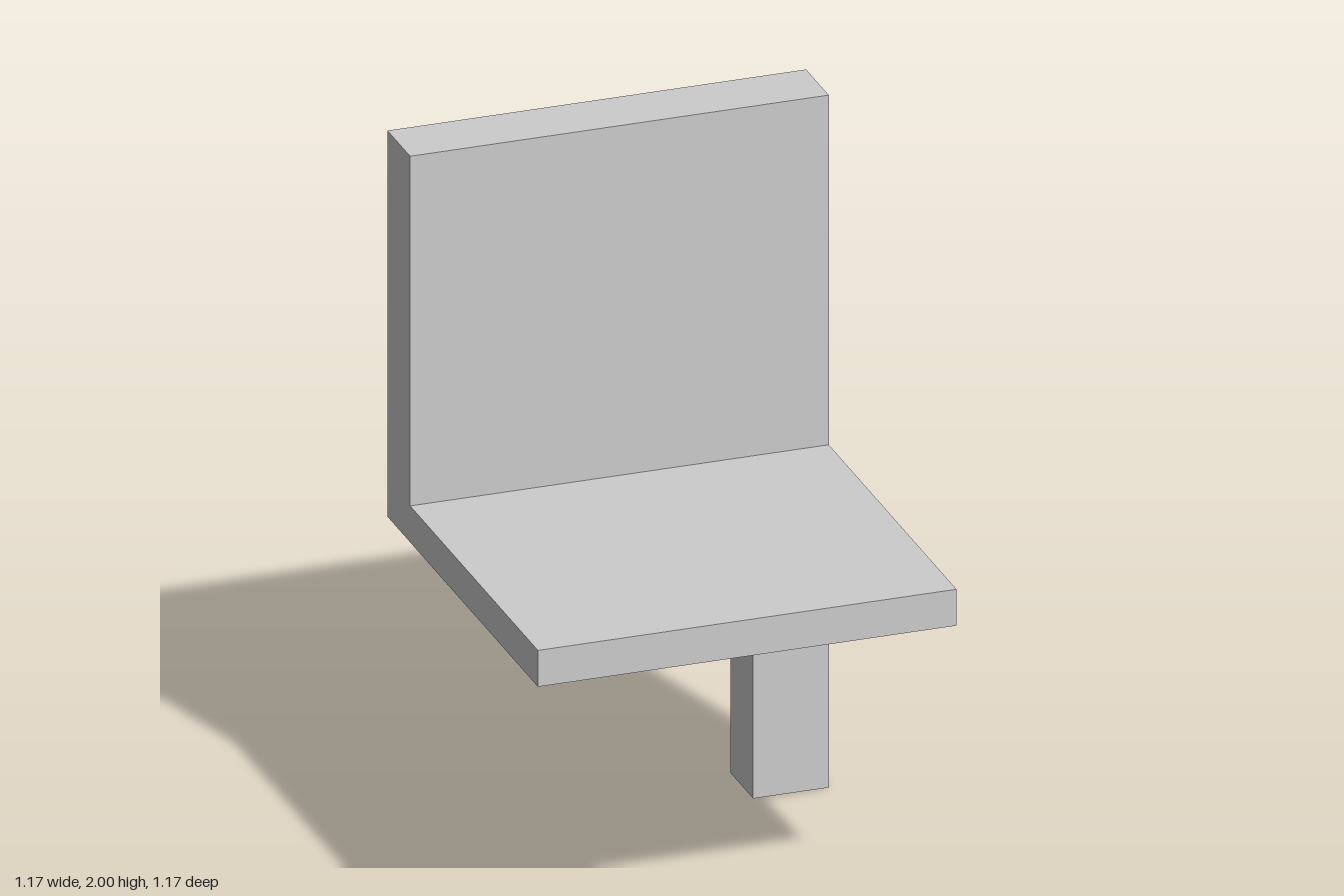
import * as THREE from 'three';

const HALF = 0.587;      // half width and half depth
const BACK_Z = -0.41;    // front plane of backrest and leg
const SEAT_BOTTOM = 0.885;
const SEAT_TOP = 0.99;

export function createModel() {
  const group = new THREE.Group();
  group.name = 'chair';
  const material = new THREE.MeshStandardMaterial({ color: 0xcccccc });

  // Box spanning two opposite corners
  const addBox = (name, [x0, y0, z0], [x1, y1, z1]) => {
    const mesh = new THREE.Mesh(new THREE.BoxGeometry(x1 - x0, y1 - y0, z1 - z0), material);
    mesh.position.set((x0 + x1) / 2, (y0 + y1) / 2, (z0 + z1) / 2);
    mesh.name = name;
    group.add(mesh);
  };

  // Seat slab, projecting forward from the backrest
  addBox('seat', [-HALF, SEAT_BOTTOM, BACK_Z], [HALF, SEAT_TOP, HALF]);
  // Backrest panel, level with the underside of the seat
  addBox('backrest', [-HALF, SEAT_BOTTOM, -HALF], [HALF, 2, BACK_Z]);
  // Single rear leg on the left, under the backrest
  addBox('rearLeftLeg', [0.375, 0, -HALF], [HALF, SEAT_BOTTOM, BACK_Z]);

  return group;
}
